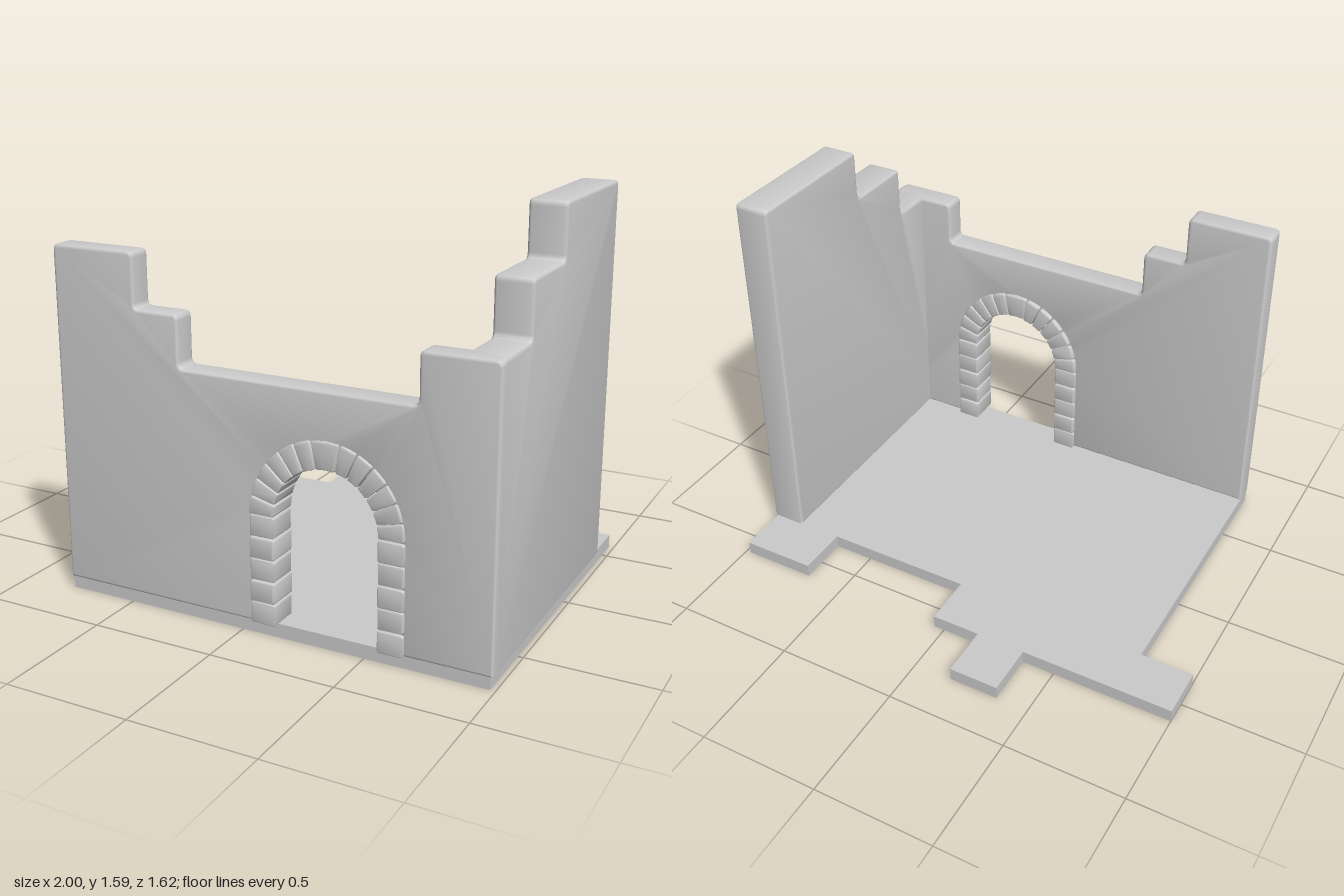
import * as THREE from 'three';
import { toCreasedNormals } from 'three/addons/utils/BufferGeometryUtils.js';

const material = new THREE.MeshStandardMaterial({ color: 0xcccccc });
const FLOOR_TOP = 0.055;

// closed outline whose corners [x, y, r] are rounded by r
function roundedShape(points, defaultRadius) {
  const shape = new THREE.Shape();
  const n = points.length;
  points.forEach(([x, y, r = defaultRadius], i) => {
    const p = new THREE.Vector2(x, y);
    const towards = (q) => {
      const d = new THREE.Vector2(q[0], q[1]).sub(p);
      return d.setLength(Math.min(r, d.length() * 0.45)).add(p);
    };
    const a = towards(points[(i + n - 1) % n]);
    const b = towards(points[(i + 1) % n]);
    if (i === 0) shape.moveTo(a.x, a.y);
    else shape.lineTo(a.x, a.y);
    if (r > 0) shape.quadraticCurveTo(x, y, b.x, b.y);
  });
  shape.closePath();
  return shape;
}

// slab between two depths, with its edges softened inside the outline
function slab(shape, from, to, bevel, segments = 3) {
  const geometry = new THREE.ExtrudeGeometry(shape, {
    depth: to - from - 2 * bevel,
    bevelEnabled: bevel > 0,
    bevelSize: bevel,
    bevelThickness: bevel,
    bevelOffset: -bevel,
    bevelSegments: segments,
    curveSegments: 4,
  });
  return geometry.translate(0, 0, from + bevel);
}

function addMesh(parent, name, geometry) {
  const mesh = new THREE.Mesh(toCreasedNormals(geometry, 0.65), material);
  mesh.name = name;
  parent.add(mesh);
  return mesh;
}

// doorway arch: centre, slight vertical stretch
const ARCH = { x: 0.36, y: 0.48, stretch: 1.045, inner: 0.206, outer: 0.306 };
function archPoint(radius, angle) {
  return [
    ARCH.x + radius * Math.cos(angle),
    ARCH.y + radius * ARCH.stretch * Math.sin(angle),
  ];
}

function createDoorSurround() {
  const group = new THREE.Group();
  group.name = 'doorSurround';
  const gap = 0.002;
  let count = 0;
  const addStone = (name, points) => {
    const proud = (count++ % 2) * 0.004;
    const shape = roundedShape(points, 0.009);
    addMesh(group, name, slab(shape, 0.672 - proud, 0.802 + proud, 0.006, 2));
  };

  // stacked stones on both sides of the opening
  const rows = 5;
  const step = (ARCH.y - FLOOR_TOP) / rows;
  for (const side of [-1, 1]) {
    for (let i = 0; i < rows; i++) {
      const a = ARCH.x + side * ARCH.inner;
      const b = ARCH.x + side * ARCH.outer;
      const y0 = FLOOR_TOP + i * step + (i ? gap : 0);
      const y1 = FLOOR_TOP + (i + 1) * step - gap;
      addStone('jambStone', [[a, y0], [b, y0], [b, y1], [a, y1]]);
    }
  }

  // wedge stones, six on each side of a wider keystone
  const addWedge = (name, start, end) => {
    const t0 = start + 0.007, t1 = end - 0.007;
    const mid = (t0 + t1) / 2;
    addStone(name, [
      archPoint(ARCH.inner, t0),
      archPoint(ARCH.outer, t0),
      [...archPoint(ARCH.outer, mid), 0],
      archPoint(ARCH.outer, t1),
      archPoint(ARCH.inner, t1),
      [...archPoint(ARCH.inner, mid), 0],
    ]);
  };
  const keyHalf = THREE.MathUtils.degToRad(10.7);
  const wedge = (Math.PI / 2 - keyHalf) / 6;
  for (let i = 0; i < 6; i++) {
    addWedge('archStone', i * wedge, (i + 1) * wedge);
    addWedge('archStone', Math.PI - (i + 1) * wedge, Math.PI - i * wedge);
  }
  addWedge('keystone', Math.PI / 2 - keyHalf, Math.PI / 2 + keyHalf);
  return group;
}

export function createModel() {
  const model = new THREE.Group();
  model.name = 'ruinedRoom';

  // floor with a broken back edge, outline in x and z
  const floorOutline = [
    [-0.78, 0.77], [-0.78, -0.385], [-1, -0.385], [-1, -0.595],
    [-0.365, -0.595], [-0.365, -0.81], [-0.16, -0.81], [-0.16, -0.595],
    [0.045, -0.595], [0.045, -0.38], [0.67, -0.38], [0.67, -0.595],
    [0.98, -0.595], [0.98, 0.77],
  ];
  const floor = slab(roundedShape(floorOutline, 0), 0, FLOOR_TOP, 0);
  floor.rotateX(Math.PI / 2).translate(0, FLOOR_TOP, 0);
  addMesh(model, 'floor', floor);

  // front wall with stepped top and an arched notch behind the door stones
  const notchRadius = 0.25;
  const notch = [[ARCH.x - notchRadius, FLOOR_TOP, 0]];
  for (let i = 0; i <= 16; i++) {
    notch.push([...archPoint(notchRadius, Math.PI * (1 - i / 16)), 0]);
  }
  notch.push([ARCH.x + notchRadius, FLOOR_TOP, 0]);
  const frontOutline = [
    [-0.78, FLOOR_TOP, 0], ...notch, [0.995, FLOOR_TOP, 0],
    [0.995, 1.165], [0.705, 1.165], [0.705, 0.977], [-0.24, 0.977],
    [-0.24, 1.175], [-0.425, 1.175], [-0.425, 1.385], [-0.78, 1.385],
  ];
  addMesh(model, 'frontWall', slab(roundedShape(frontOutline, 0.022), 0.69, 0.79, 0.012));

  // side wall climbing in steps towards the back, outline in -z and y
  const sideOutline = [
    [-0.77, FLOOR_TOP, 0], [0.385, FLOOR_TOP, 0], [0.385, 1.59],
    [-0.21, 1.59], [-0.21, 1.38], [-0.52, 1.38], [-0.52, 1.165], [-0.77, 1.165],
  ];
  const sideWall = slab(roundedShape(sideOutline, 0.022), 0.85, 0.995, 0.012);
  addMesh(model, 'leftSideWall', sideWall.rotateY(Math.PI / 2));

  model.add(createDoorSurround());
  return model;
}
